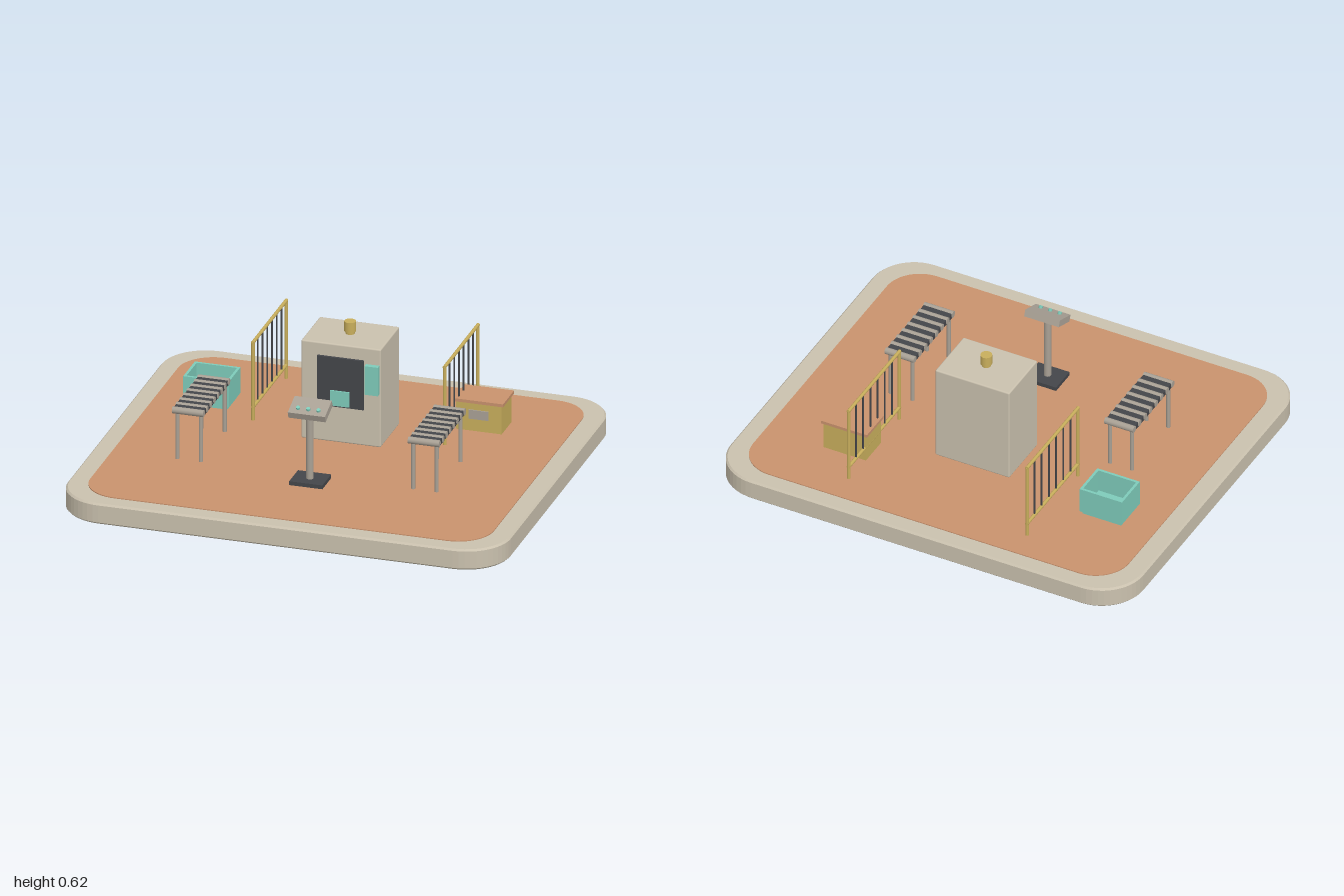
import * as THREE from 'three';
import { RoundedBoxGeometry } from 'three/addons/geometries/RoundedBoxGeometry.js';

const mat = (name, color) => {
  const m = new THREE.MeshStandardMaterial({ color });
  m.name = name;
  return m;
};

export function createModel() {
  const beige = mat('beige', 0xcac1ae);
  const clay = mat('clay', 0xc9926d);
  const dark = mat('charcoal', 0x44464a);
  const teal = mat('teal', 0x7ecbba);
  const brass = mat('brass', 0xc8ae5c);
  const steel = mat('steel', 0xa9a195);

  const root = new THREE.Group();
  root.name = 'workCell';

  const group = (name, x = 0, z = 0) => {
    const g = new THREE.Group();
    g.name = name;
    g.position.set(x, 0, z);
    root.add(g);
    return g;
  };
  const add = (parent, name, geo, m, x, y, z) => {
    const mesh = new THREE.Mesh(geo, m);
    mesh.name = name;
    mesh.position.set(x, y, z);
    parent.add(mesh);
    return mesh;
  };
  const box = (p, name, m, w, h, d, x, y, z) => add(p, name, new THREE.BoxGeometry(w, h, d), m, x, y, z);
  const rod = (p, name, m, r, h, x, y, z, sides = 10) =>
    add(p, name, new THREE.CylinderGeometry(r, r, h, sides), m, x, y, z);

  // Rounded slab standing on y, with a small bevel
  const slab = (name, m, hx, hz, r, y, h, bevel) => {
    const a = hx - bevel, b = hz - bevel, c = r - bevel;
    const s = new THREE.Shape();
    s.moveTo(-a + c, -b);
    s.lineTo(a - c, -b);
    s.absarc(a - c, -b + c, c, -Math.PI / 2, 0);
    s.absarc(a - c, b - c, c, 0, Math.PI / 2);
    s.absarc(-a + c, b - c, c, Math.PI / 2, Math.PI);
    s.absarc(-a + c, -b + c, c, Math.PI, Math.PI * 1.5);
    const geo = new THREE.ExtrudeGeometry(s, {
      depth: h - 2 * bevel, curveSegments: 6, bevelEnabled: bevel > 0,
      bevelSize: bevel, bevelThickness: bevel, bevelSegments: 1,
    });
    geo.rotateX(-Math.PI / 2);
    add(root, name, geo, m, 0, y + bevel, 0);
  };
  slab('platform', beige, 1, 0.862, 0.2, 0, 0.096, 0.008);
  slab('floor', clay, 0.912, 0.785, 0.16, 0.09, 0.01, 0);

  // Central machine cabinet
  const machine = group('machine', 0, -0.202);
  add(machine, 'cabinet', new RoundedBoxGeometry(0.36, 0.46, 0.264, 2, 0.007), beige, 0, 0.33, 0);
  box(machine, 'frontPanel', dark, 0.21, 0.23, 0.014, 0, 0.386, 0.137);
  box(machine, 'screen', teal, 0.086, 0.07, 0.008, 0, 0.313, 0.147);
  box(machine, 'sidePanel', teal, 0.06, 0.134, 0.026, 0.144, 0.418, 0.143);
  rod(machine, 'ventStem', brass, 0.02, 0.02, 0, 0.565, 0, 16);
  rod(machine, 'ventCap', brass, 0.026, 0.046, 0, 0.595, 0, 16);

  // Control pedestal with a tilted console
  const pedestal = group('controlPedestal', 0, 0.37);
  box(pedestal, 'pedestalBase', dark, 0.15, 0.018, 0.125, 0, 0.109, -0.003);
  rod(pedestal, 'pedestalPost', steel, 0.016, 0.315, 0, 0.27, 0, 14);
  const console_ = new THREE.Group();
  console_.name = 'console';
  console_.position.set(0, 0.441, -0.003);
  console_.rotation.x = 0.35;
  pedestal.add(console_);
  box(console_, 'consoleBody', steel, 0.168, 0.031, 0.106, 0, 0, 0);
  for (const x of [-0.046, 0, 0.046]) rod(console_, 'button', teal, 0.009, 0.012, x, 0.019, 0.022, 12);

  // Roller conveyors
  for (const cx of [-0.567, 0.498]) {
    const conveyor = group('conveyor', cx, 0.134);
    box(conveyor, 'conveyorBed', dark, 0.136, 0.024, 0.362, 0, 0.329, 0);
    for (let i = 0; i < 8; i++) {
      const roller = rod(conveyor, 'roller', steel, 0.0155, 0.141, 0, 0.331, -0.179 + i * 0.0512);
      roller.rotation.z = Math.PI / 2;
    }
    for (const x of [-0.053, 0.053])
      for (const z of [-0.169, 0.169]) rod(conveyor, 'conveyorLeg', steel, 0.009, 0.222, x, 0.21, z);
  }

  // Safety fences
  for (const side of [-1, 1]) {
    const fence = group('fence', side * 0.433, -0.418);
    for (const z of [-0.235, 0.235]) rod(fence, 'fencePost', brass, 0.008, 0.366, 0, 0.285, z);
    for (const y of [0.164, 0.467]) {
      const rail = rod(fence, 'fenceRail', brass, 0.008, 0.482, 0, y, 0);
      rail.rotation.x = Math.PI / 2;
    }
    for (let i = 1; i < 7; i++) rod(fence, 'fenceBar', dark, 0.004, 0.3, 0, 0.315, -0.235 + i * 0.47 / 7, 6);
  }

  // Open bin
  const bin = group('openBin', -0.667, -0.334);
  box(bin, 'binBase', teal, 0.187, 0.022, 0.147, 0, 0.11, 0);
  box(bin, 'binFloor', teal, 0.19, 0.012, 0.15, 0, 0.121, 0);
  for (const s of [-1, 1]) {
    box(bin, 'binLongWall', teal, 0.206, 0.12, 0.012, 0, 0.175, s * 0.077);
    box(bin, 'binShortWall', teal, 0.012, 0.12, 0.142, s * 0.097, 0.175, 0);
  }

  // Lidded crate with a label plate
  const crate = group('crate', 0.529, -0.436);
  box(crate, 'crateBody', brass, 0.207, 0.134, 0.143, 0, 0.167, 0);
  box(crate, 'crateLid', clay, 0.224, 0.014, 0.157, 0, 0.238, 0);
  box(crate, 'crateLabel', steel, 0.09, 0.042, 0.006, 0, 0.178, 0.074);

  return root;
}
